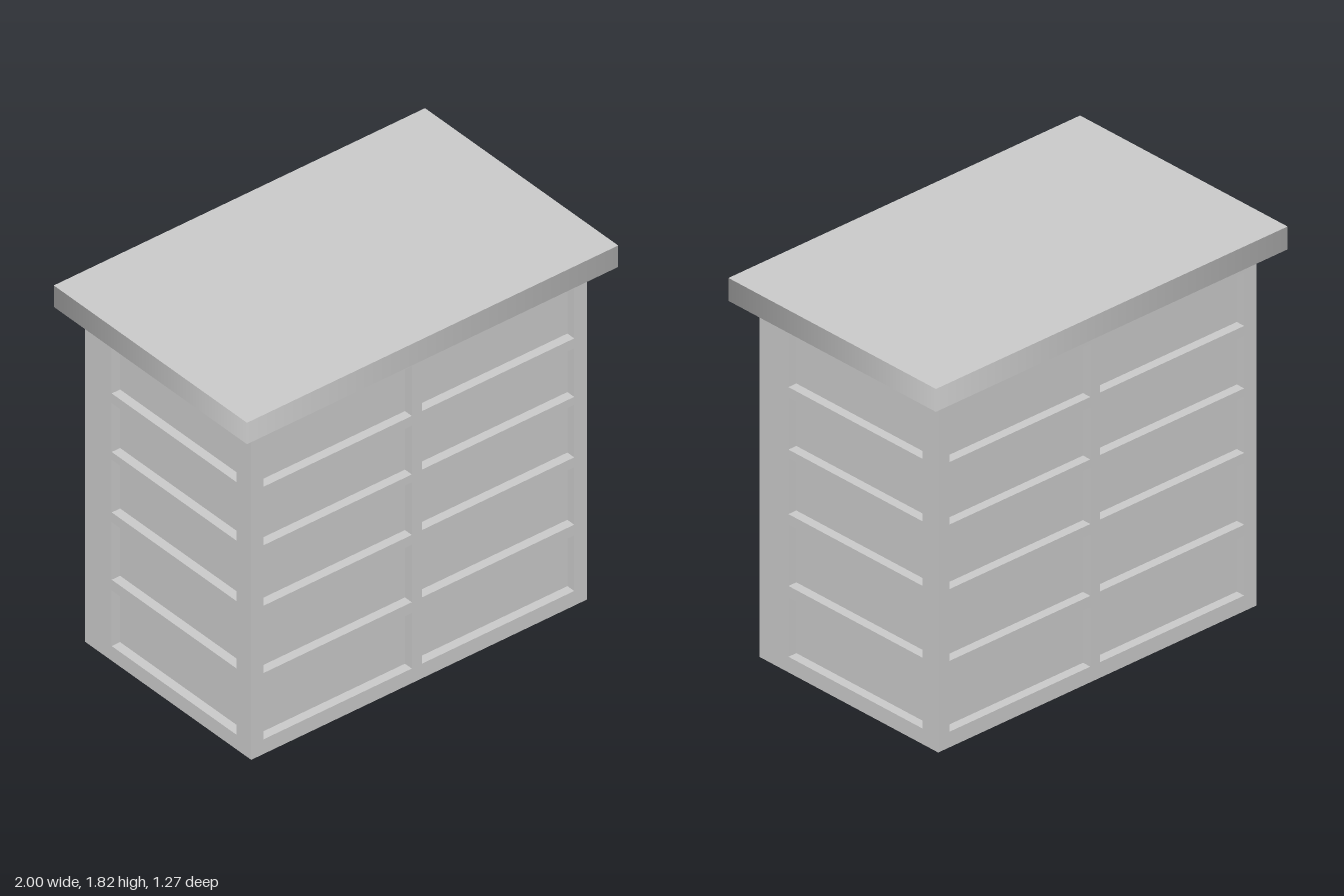
import * as THREE from 'three';

const material = new THREE.MeshStandardMaterial({ color: 0xcccccc });
const HALF_W = 0.905, HALF_D = 0.547, BODY_H = 1.71, TOP_H = 1.82, RECESS = 0.045;

// Bottom and top of each row of recessed panels
const ROWS = [[0.075, 0.36], [0.415, 0.71], [0.76, 1.03], [1.07, 1.32], [1.37, 1.625]];
// Left and right edge of each panel column, seen facing the wall
const FRONT_COLUMNS = [[-0.84, -0.04], [0.015, 0.835]];
const SIDE_COLUMNS = [[-0.37, 0.45]];

function rectangle(target, x0, y0, x1, y1) {
  target.moveTo(x0, y0);
  target.lineTo(x1, y0);
  target.lineTo(x1, y1);
  target.lineTo(x0, y1);
  target.closePath();
  return target;
}

// Flat wall frame with one opening per column and row
function wallFrame(name, halfWidth, columns, distance, angle) {
  const shape = rectangle(new THREE.Shape(), -halfWidth, 0, halfWidth, BODY_H);
  for (const [x0, x1] of columns) {
    for (const [y0, y1] of ROWS) {
      shape.holes.push(rectangle(new THREE.Path(), x0, y0, x1, y1));
    }
  }
  const geometry = new THREE.ExtrudeGeometry(shape, { depth: RECESS, bevelEnabled: false });
  geometry.translate(0, 0, distance - RECESS);
  const mesh = new THREE.Mesh(geometry, material);
  mesh.name = name;
  mesh.rotation.y = angle;
  return mesh;
}

export function createModel() {
  const group = new THREE.Group();
  group.name = 'cabinet';

  // Inner block: its faces are the backs of the recesses
  const core = new THREE.Mesh(
    new THREE.BoxGeometry(2 * (HALF_W - RECESS), BODY_H, 2 * (HALF_D - RECESS)), material);
  core.name = 'panelCore';
  core.position.y = BODY_H / 2;
  group.add(core);

  // Four wall frames; opposite walls are the same frame turned half round
  const sideHalf = HALF_D - RECESS;
  group.add(
    wallFrame('frontFrame', HALF_W, FRONT_COLUMNS, HALF_D, 0),
    wallFrame('backFrame', HALF_W, FRONT_COLUMNS, HALF_D, Math.PI),
    wallFrame('leftFrame', sideHalf, SIDE_COLUMNS, HALF_W, Math.PI / 2),
    wallFrame('rightFrame', sideHalf, SIDE_COLUMNS, HALF_W, -Math.PI / 2));

  // Overhanging top slab: four-sided prism with smooth-shaded edges
  const slabGeometry = new THREE.CylinderGeometry(Math.SQRT2, Math.SQRT2, TOP_H - BODY_H, 4);
  slabGeometry.rotateY(Math.PI / 4);
  slabGeometry.scale(1, 1, 0.635);
  const slab = new THREE.Mesh(slabGeometry, material);
  slab.name = 'topSlab';
  slab.position.y = (TOP_H + BODY_H) / 2;
  group.add(slab);

  return group;
}
